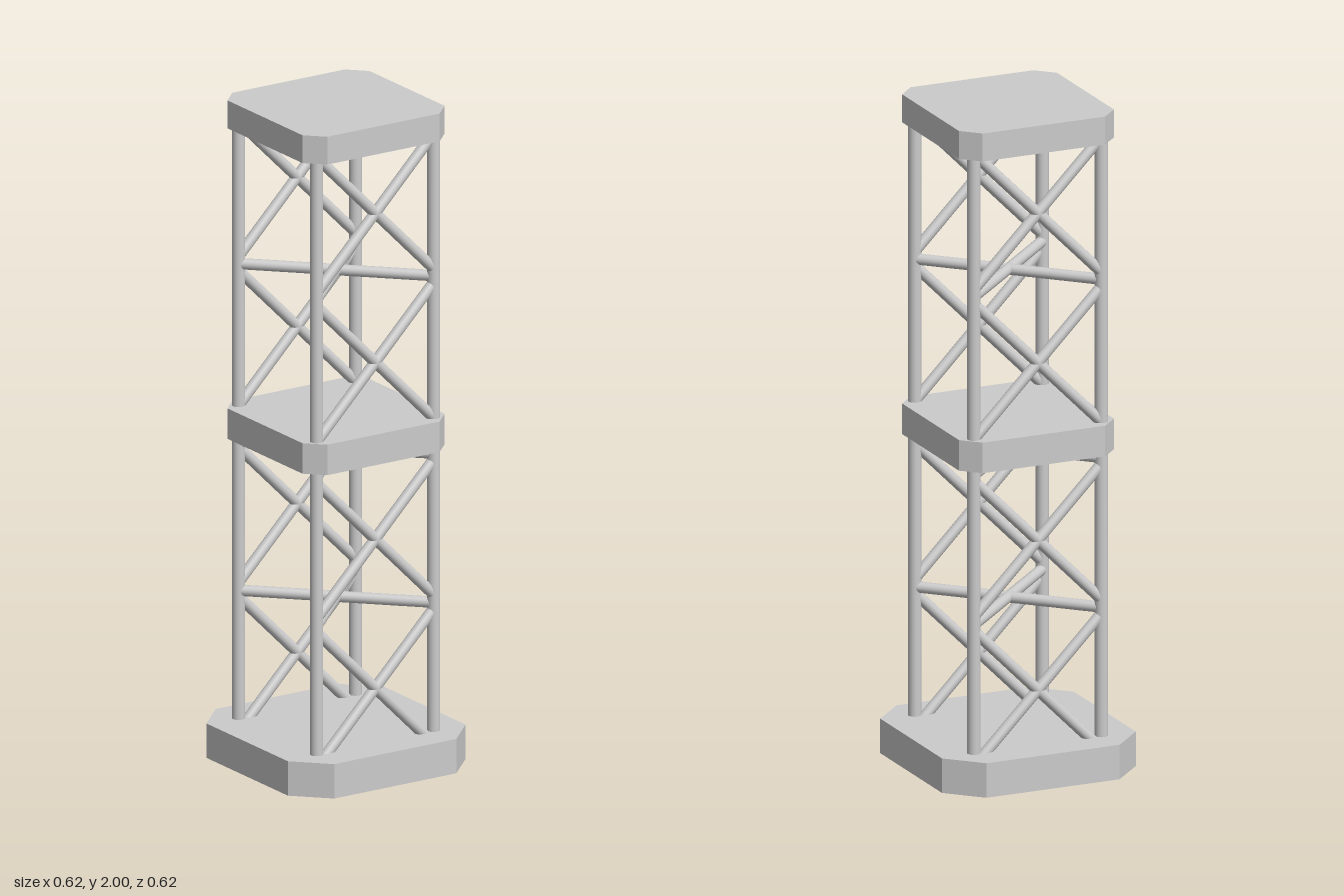
import * as THREE from 'three';

const POST = 0.204; // post offset from the axis in x and z

export function createModel() {
  const model = new THREE.Group();
  model.name = 'trussTower';
  const material = new THREE.MeshStandardMaterial({ color: 0xcccccc });

  const add = (name, geometry) => {
    const mesh = new THREE.Mesh(geometry, material);
    mesh.name = name;
    model.add(mesh);
    return mesh;
  };

  // Square slab with cut corners: half width, half length of a straight edge
  const slab = (name, half, edge, bottom, top) => {
    const corners = [
      [half, -edge], [half, edge], [edge, half], [-edge, half],
      [-half, edge], [-half, -edge], [-edge, -half], [edge, -half],
    ].map(([x, y]) => new THREE.Vector2(x, y));
    const geometry = new THREE.ExtrudeGeometry(new THREE.Shape(corners), {
      depth: top - bottom, bevelEnabled: false,
    });
    geometry.rotateX(-Math.PI / 2);
    add(name, geometry).position.y = bottom;
  };

  // Round bar between two points
  const bar = (name, from, to, radius) => {
    const a = new THREE.Vector3(...from);
    const b = new THREE.Vector3(...to);
    const mesh = add(name, new THREE.CylinderGeometry(radius, radius, a.distanceTo(b), 16));
    mesh.position.copy(a).add(b).multiplyScalar(0.5);
    mesh.quaternion.setFromUnitVectors(new THREE.Vector3(0, 1, 0), b.sub(a).normalize());
  };

  // Base and decks
  slab('base', 0.31, 0.213, 0, 0.105);
  slab('middleDeck', 0.248, 0.196, 0.967, 1.06);
  slab('topDeck', 0.248, 0.196, 1.915, 2);

  // Four corner posts
  for (const x of [-POST, POST]) {
    for (const z of [-POST, POST]) bar('post', [x, 0.05, z], [x, 1.95, z], 0.0195);
  }

  // Crossed braces on the front and back faces
  for (const z of [-POST, POST]) {
    for (const y of [0.27, 0.725, 1.265, 1.72]) {
      for (const s of [-1, 1]) {
        bar('crossBrace', [-0.198, y - s * 0.2, z], [0.198, y + s * 0.2, z], 0.0165);
      }
    }
  }

  // Horizontal ties from corner to corner through the middle
  for (const y of [0.495, 0.95, 1.492]) {
    for (const s of [-1, 1]) {
      bar('diagonalTie', [-POST, y, -s * POST], [POST, y, s * POST], 0.0165);
    }
  }

  return model;
}
